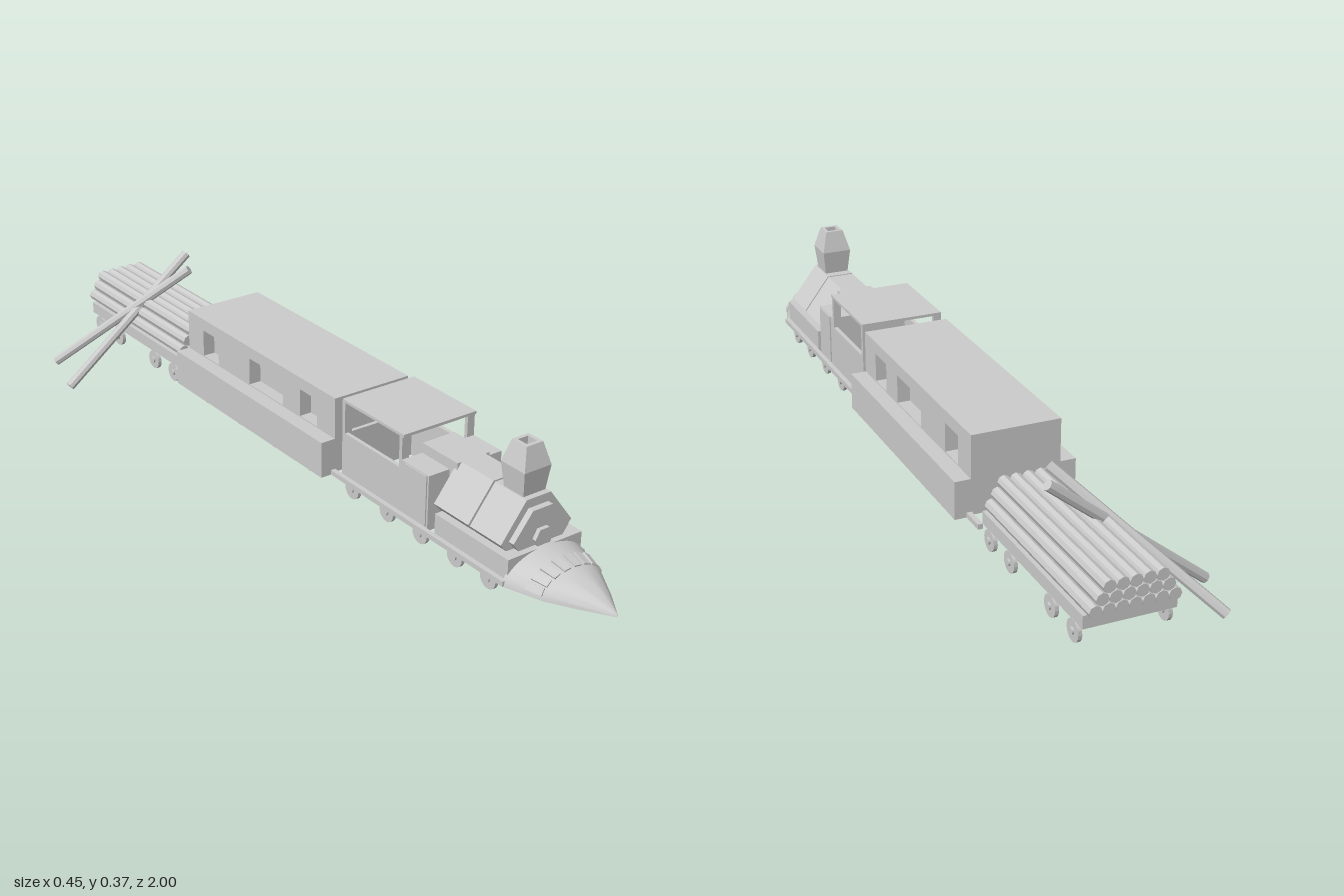
import * as THREE from 'three';
import { toCreasedNormals } from 'three/addons/utils/BufferGeometryUtils.js';

const grey = new THREE.MeshStandardMaterial({ color: 0xcccccc });
const flat = new THREE.MeshStandardMaterial({ color: 0xcccccc, flatShading: true });
const thin = new THREE.MeshStandardMaterial({ color: 0xcccccc, side: THREE.DoubleSide });

function add(parent, name, geometry, material = grey) {
  const mesh = new THREE.Mesh(geometry, material);
  mesh.name = name;
  parent.add(mesh);
  return mesh;
}

// Box given by its lower and upper limits on each axis
function box(parent, name, x0, x1, y0, y1, z0, z1) {
  const m = add(parent, name, new THREE.BoxGeometry(x1 - x0, y1 - y0, z1 - z0));
  m.position.set((x0 + x1) / 2, (y0 + y1) / 2, (z0 + z1) / 2);
  return m;
}

// Outline in x, y pulled along z from z0 to z1
function prism(parent, name, points, z0, z1, holes = []) {
  const toShape = (pts) => new THREE.Shape(pts.map(([x, y]) => new THREE.Vector2(x, y)));
  const shape = toShape(points);
  shape.holes = holes.map(toShape);
  const g = new THREE.ExtrudeGeometry(shape, { depth: z1 - z0, bevelEnabled: false });
  g.translate(0, 0, z0);
  return add(parent, name, g);
}

const rect = (x0, x1, y0, y1) => [[x0, y0], [x1, y0], [x1, y1], [x0, y1]];

// Six-sided outline, pointed at its sides
const hexagon = (half, wide, mid, low, high) =>
  [[-wide, mid], [-half, low], [half, low], [wide, mid], [half, high], [-half, high]];

// Round log between two points
function log(parent, name, from, to, radius) {
  const a = new THREE.Vector3(...from), b = new THREE.Vector3(...to);
  const m = add(parent, name, new THREE.CylinderGeometry(radius, radius, a.distanceTo(b), 8), flat);
  m.position.copy(a).lerp(b, 0.5);
  m.quaternion.setFromUnitVectors(new THREE.Vector3(0, 1, 0), b.sub(a).normalize());
}

// Half-round nose tapering to a point, with a row of small panels
function buildNose(parent) {
  const sections = [[0.775, 0.115, 0.064], [0.87, 0.083, 0.048], [0.94, 0.042, 0.027], [1, 0.002, 0.006]];
  const n = 16, base = 0.094, pos = [], index = [];
  for (const [z, w, h] of sections)
    for (let j = 0; j <= n; j++) {
      const a = (j / n) * Math.PI;
      pos.push(w * Math.cos(a), base + h * Math.sin(a), z);
    }
  for (let i = 0; i < sections.length - 1; i++)
    for (let j = 0; j <= n; j++) {
      const k = (j + 1) % (n + 1), r = i * (n + 1), s = r + n + 1;
      index.push(r + j, r + k, s + j, r + k, s + k, s + j);
    }
  const g = new THREE.BufferGeometry();
  g.setAttribute('position', new THREE.Float32BufferAttribute(pos, 3));
  g.setIndex(index);
  add(parent, 'nose', toCreasedNormals(g, 0.7), thin);

  const at = (a, w, h, z) => new THREE.Vector3(w * Math.cos(a), base + h * Math.sin(a), z);
  for (let i = 0; i < 8; i++) {
    const a = Math.PI * (0.12 + 0.76 * i / 7);
    const p = at(a, 0.092, 0.053, 0.845);
    const along = at(a, 0.083, 0.048, 0.87).sub(p).normalize();
    const across = at(a - 0.05, 0.092, 0.053, 0.845).sub(p).normalize();
    const normal = along.clone().cross(across).normalize();
    across.crossVectors(normal, along);
    const m = add(parent, 'nosePanel', new THREE.BoxGeometry(0.018, 0.006, 0.04));
    m.quaternion.setFromRotationMatrix(new THREE.Matrix4().makeBasis(across, normal, along));
    m.position.copy(p);
  }
}

function buildEngine(parent) {
  buildNose(parent);
  box(parent, 'engineFrame', -0.104, 0.104, 0.097, 0.156, 0.54, 0.78);
  box(parent, 'belly', -0.057, 0.057, 0.084, 0.1, 0.42, 0.78);

  // Boiler: two sections, a smaller front cap and a round door
  prism(parent, 'boilerRear', hexagon(0.034, 0.1, 0.175, 0.1, 0.262), 0.53, 0.645);
  prism(parent, 'boilerFront', hexagon(0.034, 0.1, 0.175, 0.1, 0.262), 0.65, 0.75);
  prism(parent, 'boilerCap', hexagon(0.028, 0.078, 0.177, 0.11, 0.241), 0.75, 0.765);
  prism(parent, 'boilerDoor', hexagon(0.013, 0.025, 0.173, 0.15, 0.195), 0.765, 0.775);
  box(parent, 'boilerNeck', -0.046, 0.046, 0.1, 0.262, 0.42, 0.54);

  // Square chimney, wide in the middle and hollow at the top
  const profile = [[0.03, 0.255], [0.0375, 0.322], [0.023, 0.375], [0.014, 0.375], [0.014, 0.33], [0, 0.33]]
    .map(([r, y]) => new THREE.Vector2(r * Math.SQRT2, y));
  const chimney = add(parent, 'chimney', new THREE.LatheGeometry(profile, 4), flat);
  chimney.rotation.y = Math.PI / 4;
  chimney.position.z = 0.705;

  // Block in front of the cab, with a door panel on each side
  box(parent, 'cabFront', -0.104, 0.104, 0.1, 0.237, 0.42, 0.515);
  for (const s of [-1, 1]) box(parent, 'sideDoor', s * 0.105 - 0.002, s * 0.105 + 0.002, 0.11, 0.235, 0.435, 0.51);

  // Open cab
  for (const s of [-1, 1]) {
    box(parent, 'cabSide', s * 0.099 - 0.005, s * 0.099 + 0.005, 0.1, 0.215, 0.2, 0.42);
    for (const z of [0.205, 0.415])
      box(parent, 'cabPost', s * 0.094 - 0.01, s * 0.094 + 0.01, 0.21, 0.295, z - 0.005, z + 0.005);
  }
  box(parent, 'cabBack', -0.1, 0.1, 0.1, 0.215, 0.2, 0.21);
  box(parent, 'cabRoof', -0.104, 0.104, 0.293, 0.3, 0.2, 0.425);
}

function buildCoach(parent) {
  // Inner core, closed ends and roof
  box(parent, 'coachCore', -0.075, 0.075, 0.1, 0.285, -0.45, 0.165);
  box(parent, 'coachRoof', -0.107, 0.107, 0.28, 0.291, -0.46, 0.175);

  // Side walls with deep windows, and the side boxes below them
  const windows = [[-0.105, -0.035], [0.035, 0.18], [0.32, 0.39]].map(([a, b]) => rect(a, b, 0.19, 0.26));
  for (const s of [-1, 1]) {
    const wall = prism(parent, 'coachWall', rect(-0.175, 0.46, 0.1, 0.281), 0, 0.033, windows);
    wall.rotation.y = Math.PI / 2;
    wall.position.x = s > 0 ? 0.074 : -0.107;
    box(parent, 'sideBox', s * 0.125 - 0.02, s * 0.125 + 0.02, 0.096, 0.187, -0.46, 0.175);
  }
  for (const z of [-0.455, 0.17]) box(parent, 'coachEnd', -0.08, 0.08, 0.1, 0.282, z - 0.005, z + 0.005);
  box(parent, 'coupler', -0.012, 0.012, 0.1, 0.115, -0.53, -0.45);
}

function buildLogWagon(parent) {
  box(parent, 'wagonBed', -0.104, 0.104, 0.106, 0.136, -0.98, -0.515);
  const r = 0.0145;
  [7, 6, 5].forEach((count, row) => {
    for (let i = 0; i < count; i++) {
      const x = (i - (count - 1) / 2) * r * 2, y = 0.136 + r + row * r * 1.73;
      log(parent, 'stackedLog', [x, y, -1], [x, y, -0.52], r);
    }
  });
}

function buildRunningGear(parent) {
  for (const s of [-1, 1]) {
    box(parent, 'sideRail', s * 0.111 - 0.006, s * 0.111 + 0.006, 0.096, 0.108, -0.52, 0.78);
    // Wheels with small hubs
    for (const z of [0.72, 0.61, 0.49, 0.37, 0.24, 0.07, -0.08, -0.23, -0.385, -0.55, -0.65, -0.84, -0.94]) {
      for (const [name, radius, width] of [['wheel', 0.025, 0.009], ['hub', 0.008, 0.018]]) {
        const m = add(parent, name, toCreasedNormals(new THREE.CylinderGeometry(radius, radius, width, 16), 0.7));
        m.rotation.z = Math.PI / 2;
        m.position.set(s * 0.1, 0.082, z);
      }
    }
  }
  // Underside seen only from below
  const floor = add(parent, 'underside', new THREE.PlaneGeometry(0.21, 1.3));
  floor.rotation.x = Math.PI / 2;
  floor.position.set(0, 0.097, 0.13);
}

export function createModel() {
  const model = new THREE.Group();
  model.name = 'logTrain';
  const parts = { engine: buildEngine, coach: buildCoach, logWagon: buildLogWagon, runningGear: buildRunningGear };
  for (const [name, build] of Object.entries(parts)) {
    const group = new THREE.Group();
    group.name = name;
    group.position.x = 0.08;
    build(group);
    model.add(group);
  }
  // Two loose logs leaning through the wagon
  log(model, 'looseLog', [-0.222, 0.011, -0.765], [0.157, 0.31, -0.765], 0.0125);
  log(model, 'looseLog', [-0.18, 0.018, -0.92], [0.11, 0.303, -0.675], 0.0125);
  return model;
}
